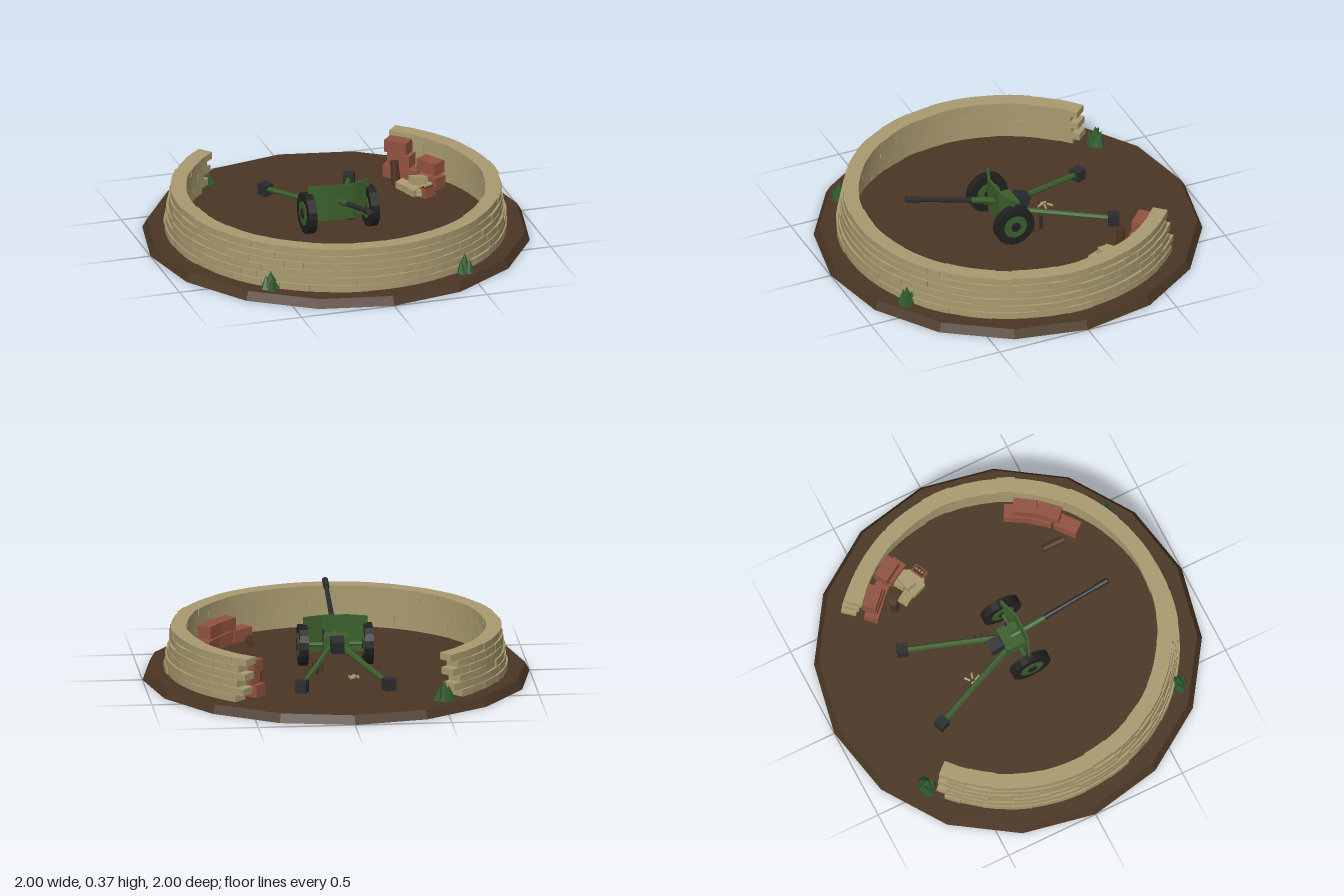
import * as THREE from 'three';
import { mergeGeometries } from 'three/addons/utils/BufferGeometryUtils.js';

const mat = (name, color) => new THREE.MeshStandardMaterial({ name, color, flatShading: true });

const GROUND = 0.045;

export function createModel() {
  const model = new THREE.Group();
  model.name = 'gunEmplacement';
  const M = {
    earth: mat('earth', 0x4a3624),
    stone: mat('sandStone', 0xa99a6f),
    brick: mat('redBrick', 0x91523f),
    green: mat('armyGreen', 0x3b5f2c),
    leaf: mat('leafGreen', 0x2f5a2e),
    steel: mat('darkSteel', 0x2a2c2f),
    rubber: mat('rubber', 0x202020),
    wood: mat('wood', 0x4d3322),
  };

  let seed = 7;
  const rand = (a = 0, b = 1) => {
    seed = (seed * 16807) % 2147483647;
    return a + (b - a) * (seed / 2147483647);
  };
  const add = (parent, name, geometry, material, x = 0, y = 0, z = 0) => {
    const mesh = new THREE.Mesh(geometry, material);
    mesh.name = name;
    mesh.position.set(x, y, z);
    parent.add(mesh);
    return mesh;
  };
  const group = (name) => {
    const g = new THREE.Group();
    g.name = name;
    model.add(g);
    return g;
  };
  const box = (w, h, d) => new THREE.BoxGeometry(w, h, d);
  const V = (x, y, z) => new THREE.Vector3(x, y, z);
  // Round bar from a to b
  const bar = (parent, name, a, b, ra, rb, material, sides = 10) => {
    const g = new THREE.CylinderGeometry(rb, ra, a.distanceTo(b), sides);
    const mesh = add(parent, name, g, material);
    mesh.position.copy(a).lerp(b, 0.5);
    mesh.quaternion.setFromUnitVectors(V(0, 1, 0), b.clone().sub(a).normalize());
    return mesh;
  };
  // Block facing outward at azimuth a (measured from +z towards +x)
  const ringBlock = (a, r, y, w, h, d) =>
    box(w, h, d).rotateY(a).translate(Math.sin(a) * r, y, Math.cos(a) * r);

  // Earth disc
  add(model, 'earthBase', new THREE.CylinderGeometry(0.975, 1, GROUND, 16), M.earth, 0, GROUND / 2, 0);

  // Dry stone wall: leaning courses, open at the back
  const courses = 6, h = (0.27 - GROUND) / courses;
  const stones = [];
  for (let i = 0; i < courses; i++) {
    const r = 0.842 - i * 0.0066;
    const limit = THREE.MathUtils.degToRad(i % 2 ? 141.5 : 138.5);
    let a = -limit;
    while (a < limit - 0.01) {
      let step = rand(0.1, 0.19);
      if (limit - a - step < 0.07) step = limit - a;
      // Long stones are split in two pieces so they follow the curve
      for (let k = 0, n = step > 0.13 ? 2 : 1, out = rand(-0.004, 0.004); k < n; k++) {
        const w = (step / n) * (r + 0.04) - (n === 1 ? 0.002 : 0);
        stones.push(ringBlock(a + (step * (k + 0.5)) / n, r + out, GROUND + (i + 0.5) * h, w, h - 0.001, 0.08));
      }
      a += step;
    }
  }
  add(model, 'stoneWall', mergeGeometries(stones), M.stone);

  // Red brick stacks against the inside of the wall: [azimuth in degrees, layer, radius]
  const stacks = {
    frontBrickStack: [[39, 0, 0.725], [49.5, 0, 0.725], [60, 0, 0.725], [46, 1, 0.735], [56, 1, 0.735]],
    backBrickStack: [[119, 0, 0.715], [130, 0, 0.72], [137, 0, 0.715], [121, 1, 0.735], [134, 1, 0.725], [136, 2, 0.73]],
  };
  for (const [name, list] of Object.entries(stacks)) {
    const parts = list.map(([deg, layer, r]) =>
      ringBlock(THREE.MathUtils.degToRad(deg + rand(-1, 1)), r, GROUND + 0.034 + layer * 0.067, 0.125, 0.066, 0.075));
    add(model, name, mergeGeometries(parts), M.brick);
  }

  // Loose stones, logs and a small ammunition box beside the back stack
  const rubble = group('rubble');
  [[0.48, -0.34, 0.02], [0.57, -0.34, 0.02], [0.5, -0.28, 0.02], [0.58, -0.29, 0.02], [0.54, -0.31, 0.06], [0.55, -0.25, 0.02]]
    .forEach(([x, z, y]) => {
      const s = add(rubble, 'looseStone', box(0.085, 0.038, 0.055), M.stone, x, GROUND + y, z);
      s.rotation.set(rand(-0.15, 0.15), rand(0, 3), rand(-0.15, 0.15));
    });
  const tray = add(rubble, 'shellTray', box(0.075, 0.05, 0.045), M.brick, 0.565, GROUND + 0.026, -0.225);
  tray.rotation.y = 0.45;
  add(tray, 'trayInside', box(0.06, 0.006, 0.032), M.wood, 0, 0.026, 0);
  for (const x of [-0.018, 0, 0.018])
    add(tray, 'shell', new THREE.CylinderGeometry(0.006, 0.006, 0.02, 6), M.stone, x, 0.026, 0);
  bar(rubble, 'standingLog', V(0.455, GROUND, -0.42), V(0.45, 0.17, -0.435), 0.025, 0.022, M.wood, 8);
  bar(rubble, 'lyingLog', V(0.397, 0.065, 0.4), V(0.397, 0.065, 0.52), 0.02, 0.02, M.wood, 8);

  // Spent casings and a supply box beside the gun
  const supplies = group('supplies');
  [[-0.09, -0.24], [-0.06, -0.265], [-0.055, -0.235], [-0.075, -0.215]].forEach(([x, z], i) => {
    const c = add(supplies, 'casing', new THREE.CylinderGeometry(0.006, 0.006, 0.032, 6), M.stone, x, GROUND + 0.007, z);
    c.rotation.set(Math.PI / 2, 0, i * 0.9);
  });
  add(supplies, 'supplyBox', box(0.055, 0.045, 0.055), M.wood, 0.1, GROUND + 0.022, -0.07);
  bar(supplies, 'post', V(0.11, GROUND, -0.135), V(0.11, 0.12, -0.135), 0.009, 0.009, M.steel, 6);

  // Field gun
  const gun = group('fieldGun');
  const wheelY = GROUND + 0.108, wheelZ = 0.043;
  bar(gun, 'axle', V(-0.17, wheelY, wheelZ), V(0.17, wheelY, wheelZ), 0.012, 0.012, M.green, 8);
  for (const s of [-1, 1]) {
    const wheel = new THREE.Group();
    wheel.name = s > 0 ? 'leftWheel' : 'rightWheel';
    wheel.position.set(s * 0.168, wheelY, wheelZ);
    wheel.rotation.z = Math.PI / 2;
    gun.add(wheel);
    add(wheel, 'tyre', new THREE.CylinderGeometry(0.108, 0.108, 0.045, 18), M.rubber);
    add(wheel, 'rim', new THREE.CylinderGeometry(0.064, 0.064, 0.051, 16), M.green);
    add(wheel, 'hub', new THREE.CylinderGeometry(0.026, 0.026, 0.06, 10), M.rubber);

    // Split trail leg with its spade
    const a = V(s * 0.035, 0.15, -0.02), b = V(s * 0.22, 0.08, -0.485);
    bar(gun, 'trailLeg', a, b, 0.016, 0.014, M.green, 6);
    const spade = add(gun, 'spade', box(0.058, 0.06, 0.058), M.steel, s * 0.225, 0.077, -0.495);
    spade.rotation.y = -s * 0.38;

    // Swept-back shield wing
    const wing = add(gun, 'shieldWing', box(0.107, 0.19, 0.01), M.green, s * 0.114, 0.205, 0.058);
    wing.rotation.y = s * 0.34;
  }
  add(gun, 'shieldCentre', box(0.132, 0.19, 0.01), M.green, 0, 0.205, 0.075);
  add(gun, 'carriage', box(0.13, 0.08, 0.11), M.green, 0, 0.17, 0.018);

  // Elevated barrel, built from breech to muzzle
  const along = (z) => V(0, 0.188 + z * 0.287, z);
  const breech = add(gun, 'breech', box(0.068, 0.065, 0.075), M.steel, 0, 0.178, -0.07);
  breech.rotation.x = -0.28;
  bar(gun, 'barrelSleeve', along(-0.05), along(0.21), 0.019, 0.016, M.green);
  bar(gun, 'barrel', along(0.2), along(0.52), 0.014, 0.011, M.steel);
  bar(gun, 'muzzleBrake', along(0.505), along(0.575), 0.016, 0.016, M.steel);
  bar(gun, 'sight', V(0.065, 0.18, 0.02), V(0.065, 0.235, 0.02), 0.007, 0.007, M.steel, 6);

  // Pointed shrubs, each a cluster of leaning cones
  [[-0.57, 0.695, 1], [0.45, 0.775, 1], [-0.49, -0.715, 1.15]].forEach(([x, z, s], n) => {
    const bush = group('shrub');
    bush.position.set(x, GROUND, z);
    for (let k = 0; k < 4; k++) {
      const a = k * 2.1 + n;
      const d = k ? 0.024 * s : 0;
      const height = k ? 0.075 * s : 0.105;
      const cone = add(bush, 'shrubCone', new THREE.ConeGeometry((k ? 0.03 : 0.04) * s, height, 6), M.leaf,
        Math.sin(a) * d, height / 2 - 0.002, Math.cos(a) * d);
      cone.rotation.set(Math.cos(a) * 0.2 * (k ? 1 : 0), a, -Math.sin(a) * 0.2 * (k ? 1 : 0));
    }
  });

  return model;
}
